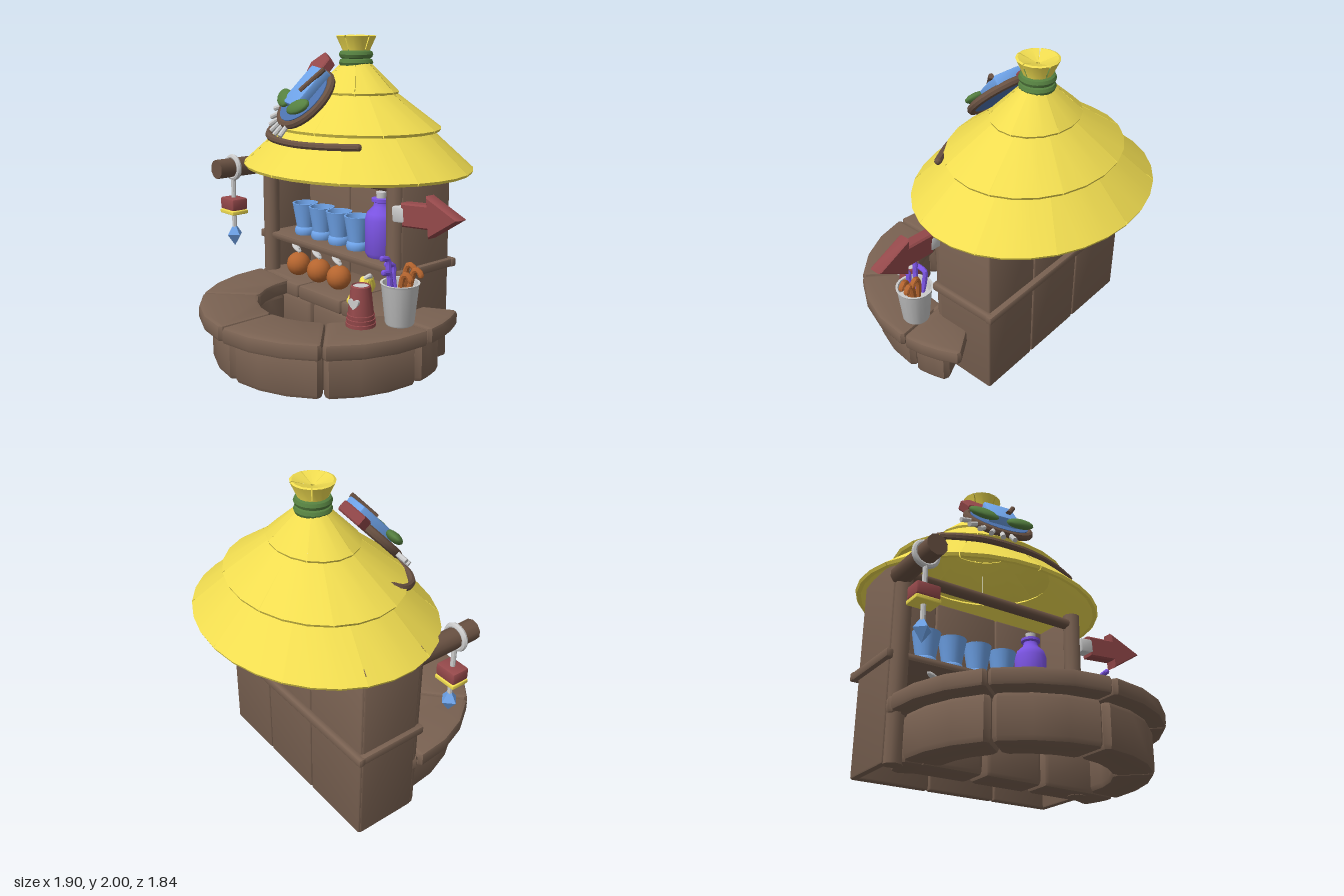
import * as THREE from 'three';
import { toCreasedNormals } from 'three/addons/utils/BufferGeometryUtils.js';
import { RoundedBoxGeometry } from 'three/addons/geometries/RoundedBoxGeometry.js';

const mat = (color) => new THREE.MeshStandardMaterial({ color, side: THREE.DoubleSide });
const wood = mat(0x7a6252), bark = mat(0x6a5243), straw = mat(0xf0dc50), blue = mat(0x6fa4ea), red = mat(0x95494b);
const green = mat(0x558040), purple = mat(0x7d55e6), orange = mat(0xb5652f), grey = mat(0xcccccc), dark = mat(0x4c72ae);
const V = (x, y, z) => new THREE.Vector3(x, y, z);

function add(parent, name, geo, material, x = 0, y = 0, z = 0) {
  const m = new THREE.Mesh(toCreasedNormals(geo, 0.65), material);
  m.name = name;
  m.position.set(x, y, z);
  parent.add(m);
  return m;
}
const box = (w, h, d, r = 0.012) => new RoundedBoxGeometry(w, h, d, 1, r);
const cyl = (r0, r1, h, n = 12) => new THREE.CylinderGeometry(r0, r1, h, n);
const lathe = (pts, n = 20, start = 0, len = Math.PI * 2) =>
  new THREE.LatheGeometry(pts.map((p) => new THREE.Vector2(p[0], p[1])), n, start, len);
const tube = (pts, r, seg = 16) =>
  new THREE.TubeGeometry(new THREE.CatmullRomCurve3(pts.map((p) => V(...p))), seg, r, 8);

function group(parent, name, x = 0, y = 0, z = 0) {
  const g = new THREE.Group();
  g.name = name;
  g.position.set(x, y, z);
  parent.add(g);
  return g;
}

// Tube with rounded ends
function rod(parent, name, pts, r, material, seg) {
  add(parent, name, tube(pts, r, seg), material);
  for (const p of [pts[0], pts[pts.length - 1]]) add(parent, name + 'End', new THREE.SphereGeometry(r, 8, 6), material, ...p);
}

// Bevelled ring segment with trimmed corners, its top at y = 0; angles in degrees from +x to +z
function ringBlock(R, r, a0, a1, h, bevel, cut) {
  const d = Math.PI / 180, s = a0 * d + 0.004, e = a1 * d - 0.004, polar = [[R - cut, s]];
  for (let i = 0; i <= 3; i++) polar.push([R, s + cut / R + (e - s - 2 * cut / R) * i / 3]);
  polar.push([R - cut, e], [r + cut, e]);
  for (let i = 3; i >= 0; i--) polar.push([r, s + cut / r + (e - s - 2 * cut / r) * i / 3]);
  polar.push([r + cut, s]);
  const shape = new THREE.Shape(polar.map(([q, a]) => new THREE.Vector2(q * Math.cos(a), q * Math.sin(a))));
  const g = new THREE.ExtrudeGeometry(shape, { depth: h - 2 * bevel, bevelThickness: bevel, bevelSize: bevel, bevelOffset: -bevel, bevelSegments: 2 });
  return g.rotateX(Math.PI / 2).translate(0, -bevel, 0);
}

function buildCounter(hut) {
  const c = group(hut, 'counter', -0.045, 0, 0.11);
  for (const [a, b] of [[-32, -4], [-4, 43], [43, 90], [90, 137], [137, 184], [184, 212]])
    add(c, 'counterTop', ringBlock(0.82, 0.45, a, b, 0.1, 0.022, 0.02), wood, 0, 0.37, 0);
  for (const [a, b] of [[-24, -4], [-4, 43], [43, 90], [90, 137], [137, 184], [184, 204]])
    add(c, 'counterBase', ringBlock(0.74, 0.5, a, b, 0.265, 0.035, 0.03), wood, 0, 0.27, 0);
  // Straight stretch between the ring and the back wall
  for (let i = 0; i < 3; i++) {
    add(hut, 'backCounterTop', box(0.425, 0.095, 0.5, 0.02), wood, -0.59 + i * 0.43, 0.317, -0.14);
    add(hut, 'backCounterBase', box(0.38, 0.265, 0.2, 0.03), wood, -0.47 + i * 0.4, 0.135, -0.02);
  }
}

function buildHut(hut) {
  // Plank walls
  const edges = [-0.86, -0.38, 0.07, 0.49];
  for (let i = 0; i < 3; i++)
    add(hut, 'backWallPlank', box(edges[i + 1] - edges[i] - 0.006, 1.22, 0.05), wood, (edges[i] + edges[i + 1]) / 2, 0.61, -0.385);
  for (const x of [-0.84, 0.465]) {
    add(hut, 'sideWall', box(0.045, 1.22, 0.4), wood, x, 0.61, -0.2);
    add(hut, 'sideRail', box(0.045, 0.055, 0.47), wood, x + Math.sign(x) * 0.03, 0.617, -0.2);
  }
  for (const x of [-0.8, 0.43]) add(hut, 'frontPost', cyl(0.055, 0.055, 1.2, 10), wood, x, 0.6, 0);
  add(hut, 'backRail', box(1.42, 0.055, 0.045), wood, -0.187, 0.617, -0.425);
  add(hut, 'shelf', box(1.25, 0.045, 0.42), wood, -0.19, 0.622, -0.18);
  add(hut, 'frontBeam', cyl(0.036, 0.036, 1.2, 10).rotateZ(Math.PI / 2), bark, -0.19, 1.135, 0);
}

function buildRoof(hut) {
  const roof = group(hut, 'roof', -0.152, 0, -0.21);
  const thatch = group(roof, 'thatch');
  thatch.scale.z = 0.84;
  // Tiers of separate panels: rim radius, rim height, top radius, top height, panel count
  [[0.81, 1.165, 0.5, 1.44, 10], [0.59, 1.415, 0.26, 1.66, 8], [0.3, 1.635, 0.09, 1.84, 6]].forEach(([r0, y0, r1, y1, n], t) => {
    const profile = [[r0 - 0.035, y0], [r0 - 0.01, y0], [r0, y0 + 0.018], [r1, y1], [r1 - 0.02, y1 - 0.02], [r0 - 0.035, y0]];
    for (let i = 0; i < n; i++)
      add(thatch, 'roofPanel', lathe(profile, 3, (i + t * 0.35) * Math.PI * 2 / n, Math.PI * 2 / n - 0.006 / r0), straw);
  });
  for (const y of [1.83, 1.88]) add(roof, 'roofBinding', new THREE.TorusGeometry(0.083, 0.027, 8, 20).rotateX(Math.PI / 2), green, 0, y, 0);
  for (let i = 0; i < 5; i++)
    add(roof, 'strawTuft', lathe([[0.02, 1.83], [0.075, 1.83], [0.08, 1.89], [0.128, 1.995], [0.115, 2], [0.012, 1.965], [0.02, 1.83]], 3, i * 1.2566 + 0.3, 1.19), straw);
}

function buildLantern(hut) {
  const g = group(hut, 'hangingLantern', -0.82, 0, 0.3);
  add(g, 'pegLog', cyl(0.065, 0.065, 0.44, 10).rotateX(Math.PI / 2), bark, 0, 1.125, -0.09);
  add(g, 'hangerRing', new THREE.TorusGeometry(0.072, 0.018, 8, 20), grey, 0, 1.125, 0);
  add(g, 'hangerRod', cyl(0.016, 0.016, 0.36, 8), grey, 0, 0.89, 0);
  add(g, 'lanternCap', box(0.15, 0.08, 0.12), red, 0, 0.88, 0);
  add(g, 'lanternTrim', box(0.155, 0.028, 0.125, 0.008), straw, 0, 0.825, 0);
  const gem = add(g, 'lanternGem', new THREE.OctahedronGeometry(0.08), blue, 0, 0.665, 0);
  gem.scale.set(0.72, 1, 0.72);
}

function buildArrow(hut) {
  const g = group(hut, 'arrowSign', 0.47, 0.99, 0.02);
  g.rotation.z = 0.09;
  add(g, 'signCuff', box(0.1, 0.095, 0.085), grey, 0.04, 0, 0);
  const s = new THREE.Shape([[0.07, -0.06], [0.27, -0.06], [0.27, -0.11], [0.48, 0], [0.27, 0.11], [0.27, 0.06], [0.07, 0.06]].map((p) => new THREE.Vector2(...p)));
  add(g, 'arrowBoard', new THREE.ExtrudeGeometry(s, { depth: 0.06, bevelSize: 0.01, bevelThickness: 0.01, bevelSegments: 1 }), red, 0, 0, -0.03);
}

function buildShelfGoods(hut) {
  // Cups and bottle
  const cup = [[0, 0], [0.068, 0], [0.075, 0.02], [0.07, 0.045], [0.06, 0.055], [0.085, 0.205], [0.088, 0.22], [0.076, 0.22], [0.055, 0.07], [0, 0.07]];
  for (const x of [-0.573, -0.395, -0.217, -0.035]) add(hut, 'blueCup', lathe(cup), blue, x, 0.645, -0.12);
  add(hut, 'bottle', lathe([[0, 0], [0.085, 0], [0.102, 0.03], [0.102, 0.24], [0.09, 0.28], [0.05, 0.32], [0.045, 0.345], [0.062, 0.352], [0.062, 0.37], [0, 0.375]]), purple, 0.185, 0.645, -0.12);
  add(hut, 'bottleCork', cyl(0.034, 0.03, 0.05), grey, 0.185, 1.03, -0.12);
  // Round fruit with leaves
  for (const x of [-0.54, -0.32, -0.115]) {
    add(hut, 'fruit', new THREE.SphereGeometry(0.081, 18, 12), orange, x, 0.452, -0.03);
    const leaf = add(hut, 'fruitLeaf', new THREE.SphereGeometry(0.05, 10, 6), grey, x - 0.02, 0.56, -0.03);
    leaf.scale.set(1, 0.28, 0.5);
    leaf.rotation.z = -0.5;
    add(hut, 'fruitStem', cyl(0.008, 0.008, 0.05, 6), grey, x + 0.005, 0.54, -0.03);
  }
  // Banana bunch
  const b = group(hut, 'bananas', 0.2, 0.37, 0.03);
  for (let i = 0; i < 5; i++) {
    const dx = i * 0.035, dz = -0.07 + i * 0.04;
    rod(b, 'banana', [[0.02, 0.16, dz * 0.3], [0.0 + dx * 0.4, 0.1, dz * 0.8], [-0.07 + dx, 0.045, dz], [-0.16 + dx, 0.035, dz * 1.1]], 0.026, straw, 10);
    rod(b, 'bananaStem', [[0.01, 0.15, dz * 0.4], [0.03, 0.175, dz * 0.3], [0.045, 0.19, 0]], 0.014, grey, 4);
  }
}

function buildCounterGoods(root) {
  // Upturned red cup with a heart
  const c = group(root, 'redCup', 0.395, 0.37, 0.38);
  add(c, 'redCupBody', lathe([[0, 0], [0.088, 0], [0.088, 0.02], [0.083, 0.022], [0.085, 0.045], [0.079, 0.047], [0.081, 0.07], [0.076, 0.072], [0.058, 0.235], [0.05, 0.242], [0.045, 0.228], [0, 0.228]]), red);
  add(c, 'redCupTop', cyl(0.046, 0.046, 0.01, 18), grey, 0, 0.23, 0);
  const h = new THREE.Shape();
  h.moveTo(0, -0.03);
  h.bezierCurveTo(-0.07, 0.02, -0.02, 0.05, 0, 0.018);
  h.bezierCurveTo(0.02, 0.05, 0.07, 0.02, 0, -0.03);
  add(c, 'heart', new THREE.ExtrudeGeometry(h, { depth: 0.02, bevelEnabled: false, curveSegments: 8 }), grey, 0, 0.14, 0.055);
  // Bucket of straws and canes
  const k = group(root, 'bucket', 0.56, 0.37, 0.225);
  add(k, 'bucketBody', lathe([[0, 0], [0.08, 0], [0.086, 0.01], [0.11, 0.235], [0.117, 0.25], [0.103, 0.25], [0.095, 0.18], [0, 0.18]]), grey);
  for (const [x, z, H] of [[-0.06, 0.03, 0.38], [-0.03, 0.06, 0.31], [-0.07, -0.03, 0.33]])
    rod(k, 'straw', [[x * 0.4, 0.08, z * 0.4], [x, H - 0.07, z], [x * 1.05, H, z * 1.1], [x * 1.1 - 0.005, H + 0.015, z + 0.05]], 0.017, purple);
  for (const [x, z, H] of [[0.03, 0.03, 0.31], [0.06, -0.03, 0.33], [0.01, -0.04, 0.35]])
    rod(k, 'cane', [[x * 0.4, 0.08, z * 0.4], [x, H - 0.05, z], [x + 0.015, H - 0.005, z], [x + 0.045, H, z], [x + 0.06, H - 0.025, z]], 0.018, orange);
}

function buildMask(root) {
  // Round framed ornament leaning on the roof, with a tube looped around it
  const g = group(root, 'roofOrnament', -0.26, 1.61, 0.085);
  g.lookAt(-0.51, 2.29, 0.775);
  add(g, 'ornamentFrame', new THREE.TorusGeometry(0.205, 0.026, 8, 28), bark);
  add(g, 'ornamentDisc', cyl(0.19, 0.19, 0.04, 24).rotateX(Math.PI / 2), dark, 0, 0, 0.005);
  const plate = add(g, 'bluePlate', box(0.19, 0.3, 0.07), blue, 0.01, 0.05, 0.045);
  plate.rotation.z = -0.12;
  const bar = add(g, 'ornamentBar', cyl(0.017, 0.017, 0.2, 8), bark, 0.085, 0.09, 0.085);
  bar.rotation.z = -0.45;
  const s = new THREE.Shape([[-0.07, -0.06], [0.07, -0.06], [0.085, 0.02], [0, 0.085], [-0.085, 0.02]].map((p) => new THREE.Vector2(...p)));
  const tip = add(g, 'redTip', new THREE.ExtrudeGeometry(s, { depth: 0.05, bevelSize: 0.008, bevelThickness: 0.008, bevelSegments: 1 }), red, -0.1, 0.26, -0.02);
  tip.rotation.z = 0.2;
  for (const [x, y, a] of [[-0.13, -0.05, -0.5], [0.1, -0.1, 0.3]]) {
    const leaf = add(g, 'leaf', new THREE.SphereGeometry(0.1, 14, 8), green, x, y, 0.06);
    leaf.scale.set(1, 0.55, 0.3);
    leaf.rotation.z = a;
  }
  for (let i = 0; i < 6; i++) {
    const a = 3.5 + i * 0.26;
    const peg = add(g, 'peg', cyl(0.016, 0.016, 0.09, 8), grey, Math.cos(a) * 0.25, Math.sin(a) * 0.25, 0);
    peg.rotation.z = a - Math.PI / 2;
  }
  rod(root, 'loopTube', [[-0.36, 1.6, -0.12], [-0.5, 1.51, -0.15], [-0.6, 1.45, -0.08], [-0.57, 1.39, 0.08], [-0.45, 1.367, 0.2], [-0.2, 1.357, 0.28], [0.05, 1.36, 0.27], [0.25, 1.368, 0.22]], 0.023, bark, 40);
}

export function createModel() {
  const root = new THREE.Group();
  root.name = 'strawRoofStall';
  const hut = group(root, 'stall');
  hut.rotation.y = -0.19;
  for (const build of [buildCounter, buildHut, buildRoof, buildLantern, buildArrow, buildShelfGoods]) build(hut);
  buildCounterGoods(root);
  buildMask(root);
  return root;
}
